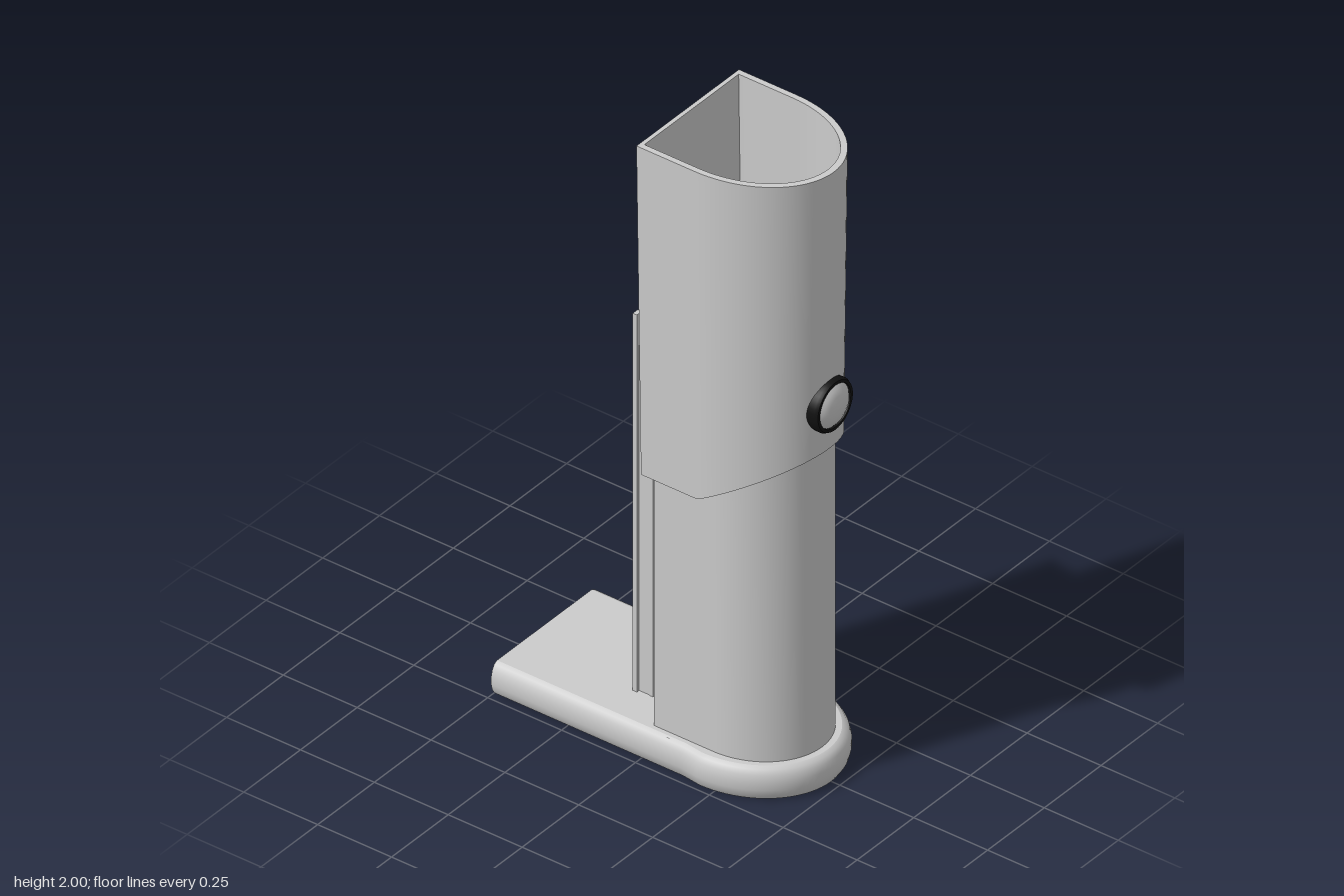
import * as THREE from 'three';
import { toCreasedNormals } from 'three/addons/utils/BufferGeometryUtils.js';

const grey = new THREE.MeshStandardMaterial({ color: 0xcccccc, side: THREE.DoubleSide });
const black = new THREE.MeshStandardMaterial({ color: 0x111111 });
const red = new THREE.MeshStandardMaterial({ color: 0xaa1a1a });

// D-shaped outline: flat back, straight sides, half-ellipse front; returns [x, z] pairs
function dOutline(hw, zBack, zMid, zFront, n = 40) {
  const pts = [[hw, zBack]];
  for (let i = 0; i <= n; i++) {
    const a = (Math.PI * i) / n;
    pts.push([hw * Math.cos(a), zMid + (zFront - zMid) * Math.sin(a)]);
  }
  pts.push([-hw, zBack]);
  return pts;
}

const toShape = (pts) => new THREE.Shape(pts.map(([x, z]) => new THREE.Vector2(x, -z)));

// Upright prism over an outline, optionally hollow
function prism(outer, inner, y0, y1) {
  const shape = toShape(outer);
  if (inner) shape.holes.push(toShape(inner));
  const g = new THREE.ExtrudeGeometry(shape, { depth: y1 - y0, bevelEnabled: false });
  return g.rotateX(-Math.PI / 2).translate(0, y0, 0);
}

export function createModel() {
  const model = new THREE.Group();
  const add = (name, geo, mat = grey, parent = model, x = 0, y = 0, z = 0) => {
    const m = new THREE.Mesh(geo, mat);
    m.name = name;
    m.position.set(x, y, z);
    parent.add(m);
    return m;
  };
  const box = (w, h, d) => new THREE.BoxGeometry(w, h, d);

  // Base: rounded rim swept round the outline, open at the rear and below
  const base = new THREE.Group();
  base.name = 'base';
  model.add(base);
  const baseOutline = (d) => {
    const pts = dOutline(0.243 - d, 0.15, 0.2, 0.485 - d);
    pts[0] = [0.235 - d, 0.14];
    pts[pts.length - 1] = [-0.235 + d, 0.14];
    return [[0.235 - d, -0.5], ...pts, [-0.235 + d, -0.5]];
  };
  const rim = [[0.014, 0], [0.005, 0.015], [0, 0.035], [0, 0.06], [0.005, 0.08], [0.014, 0.094], [0.026, 0.1]];
  const pos = [], idx = [];
  rim.forEach(([d, y]) => baseOutline(d).forEach(([x, z]) => pos.push(x, y, z)));
  const n = baseOutline(0).length;
  for (let r = 0; r < rim.length - 1; r++) {
    for (let i = 0; i < n - 1; i++) {
      const a = r * n + i, b = a + n;
      idx.push(a, b, a + 1, b, b + 1, a + 1);
    }
  }
  const rimGeo = new THREE.BufferGeometry();
  rimGeo.setAttribute('position', new THREE.Float32BufferAttribute(pos, 3));
  rimGeo.setIndex(idx);
  rimGeo.computeVertexNormals();
  add('baseRim', rimGeo, grey, base);
  add('baseTop', new THREE.ShapeGeometry(toShape(baseOutline(0.026))).rotateX(-Math.PI / 2), grey, base, 0, 0.1, 0);

  // Underside: lowered front floor with a step behind it
  add('frontFloor', prism(dOutline(0.225, 0.08, 0.2, 0.465), null, 0.025, 0.035), grey, base);
  add('floorStep', box(0.43, 0.065, 0.008), grey, base, 0, 0.065, 0.084);
  add('stepPanel', box(0.2, 0.06, 0.006), red, base, 0.11, 0.065, 0.077);

  // Hollow lower column
  add('lowerColumn', toCreasedNormals(prism(
    dOutline(0.195, 0.02, 0.22, 0.44), dOutline(0.184, 0.032, 0.22, 0.427), 0.1, 1.25), 0.5));

  // Small fitting on the floor inside the column
  const fitting = new THREE.Group();
  fitting.name = 'innerFitting';
  fitting.position.x = 0.02;
  model.add(fitting);
  add('fittingBand', prism(dOutline(0.146, 0.1, 0.2, 0.378), null, 0.1, 0.14), red, fitting);
  add('fittingCup', toCreasedNormals(prism(
    dOutline(0.142, 0.08, 0.2, 0.382), dOutline(0.132, 0.12, 0.2, 0.37), 0.1, 0.2), 0.5), grey, fitting);
  add('fittingFoot', box(0.15, 0.03, 0.04), grey, fitting, 0.015, 0.115, 0.37);

  // Upper sleeve: slanted lower front edge, slightly narrower in depth towards the bottom
  const sleeve = prism(dOutline(0.226, -0.015, 0.18, 0.48), dOutline(0.208, -0.002, 0.18, 0.46), 0.93, 2);
  const p = sleeve.attributes.position;
  for (let i = 0; i < p.count; i++) {
    const z = p.getZ(i);
    let y = p.getY(i);
    if (y < 1) y = 0.93 + Math.max(0, z - 0.19) * 0.55;
    p.setXYZ(i, p.getX(i), y, 0.225 + (z - 0.225) * (0.935 + 0.065 * (y - 0.93) / 1.07));
  }
  add('upperSleeve', toCreasedNormals(sleeve, 0.5));

  // Round button on the sleeve front
  const button = new THREE.Group();
  button.name = 'button';
  button.position.set(0, 1.235, 0);
  model.add(button);
  const turn = (pts) => new THREE.LatheGeometry(pts.map(([r, z]) => new THREE.Vector2(r, z)), 40).rotateX(Math.PI / 2);
  add('buttonRing', toCreasedNormals(turn(
    [[0, 0.432], [0.08, 0.432], [0.082, 0.475], [0.077, 0.485], [0.068, 0.485], [0.066, 0.47]]), 0.6), black, button);
  add('buttonDome', turn([[0.068, 0.478], [0.055, 0.489], [0.038, 0.496], [0.02, 0.499], [0, 0.5]]), grey, button);

  // Pair of channel rails standing behind the column
  for (const [name, x] of [['leftRail', 0.102], ['rightRail', -0.046]]) {
    const rail = new THREE.Group();
    rail.name = name;
    rail.position.x = x;
    model.add(rail);
    const h = 1.235;
    add('railWeb', box(0.09, h, 0.012), grey, rail, 0, 0.1 + h / 2, -0.069);
    for (const s of [-1, 1]) {
      add('railWall', box(0.012, h, 0.062), grey, rail, s * 0.037, 0.1 + h / 2, -0.094);
      add('railFlange', box(0.016, h, 0.014), grey, rail, s * 0.045, 0.1 + h / 2, -0.118);
      add('railPeg', new THREE.CylinderGeometry(0.014, 0.014, 0.05, 16), grey, rail, s * 0.021, 0.078, -0.085);
    }
    add('railPin', box(0.02, 0.08, 0.025), grey, rail, 0, 1.34, -0.074);
    for (const y of [0.33, 0.71, 1.11]) {
      add('railStud', box(0.03, 0.02, 0.024), grey, rail, 0, y, -0.053);
    }
  }
  return model;
}
